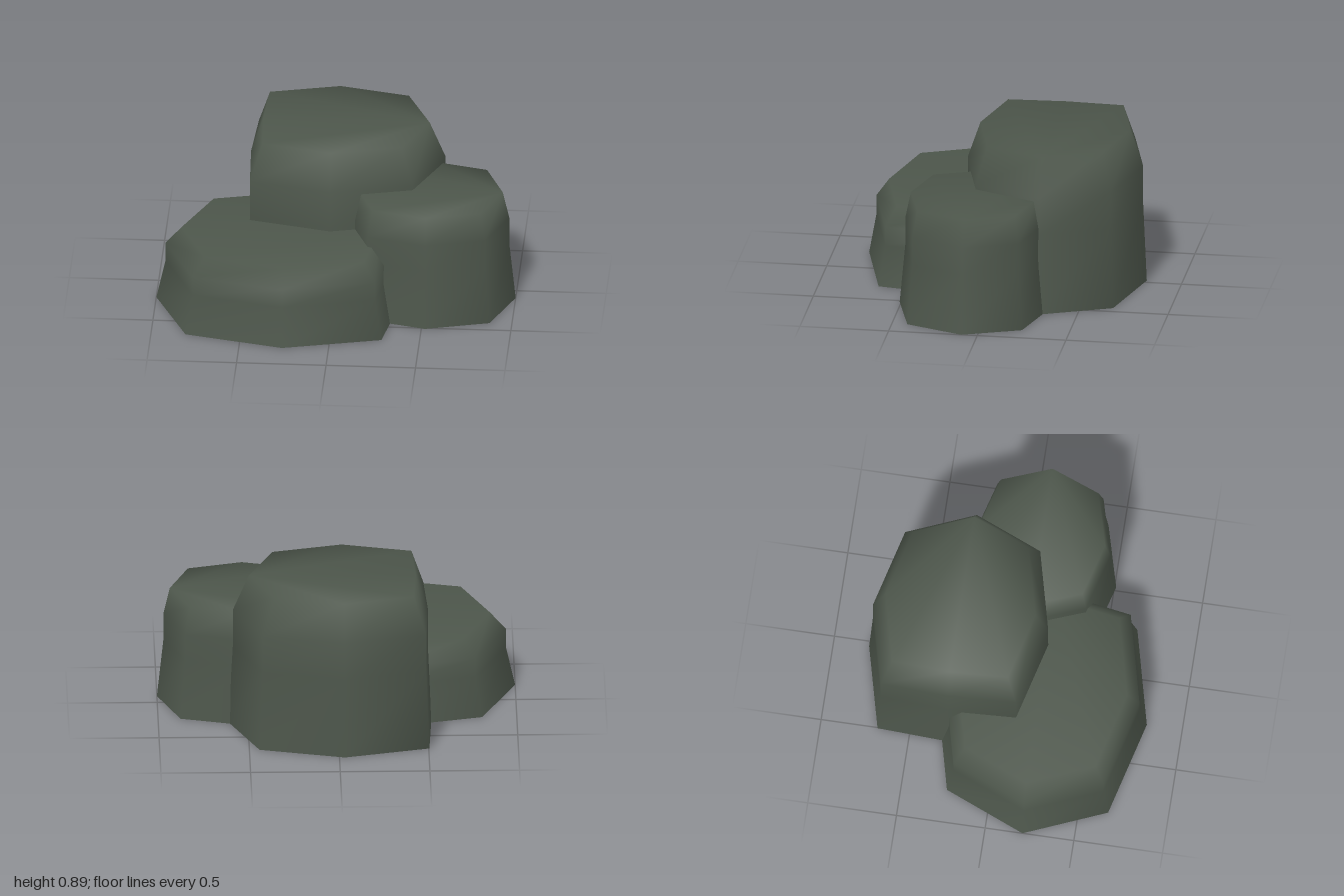
import * as THREE from 'three';

// Eight-sided outline: full reach on the axes, pulled in on the diagonals
const DX = 0.74, DZ = 0.77;
const OUTLINE = [[1, 0], [DX, DZ], [0, 1], [-DX, DZ], [-1, 0], [-DX, -DZ], [0, -1], [DX, -DZ]];

// Smooth boulder, open underneath. levels: [height, scale] from the ground up.
// right and left shorten the side corners for a flattened flank.
function boulder(name, material, { x, z, rx, rz, right = 1, left = 1, levels }) {
  const n = OUTLINE.length, positions = [], index = [];
  for (const [y, s] of levels) {
    OUTLINE.forEach(([ox, oz], i) => {
      const reach = i === 0 ? right : i === 4 ? left : 1;
      positions.push(x + ox * rx * s * reach, y, z + oz * rz * s);
    });
  }
  // Sides
  for (let k = 0; k < levels.length - 1; k++) {
    for (let i = 0; i < n; i++) {
      const a = k * n + i, b = k * n + (i + 1) % n;
      index.push(a, a + n, b, b, a + n, b + n);
    }
  }
  // Flat top
  const t = (levels.length - 1) * n;
  for (let i = 1; i < n - 1; i++) index.push(t, t + i + 1, t + i);

  const geometry = new THREE.BufferGeometry();
  geometry.setAttribute('position', new THREE.Float32BufferAttribute(positions, 3));
  geometry.setIndex(index);
  geometry.computeVertexNormals();
  const mesh = new THREE.Mesh(geometry, material);
  mesh.name = name;
  return mesh;
}

export function createModel() {
  const stone = new THREE.MeshStandardMaterial({ color: 0x4d564b, side: THREE.DoubleSide });
  stone.name = 'mossy grey stone';

  const group = new THREE.Group();
  group.name = 'rockCluster';
  group.add(
    boulder('lowBoulder', stone, {
      x: -0.26, z: 0.21, rx: 0.74, rz: 0.59, right: 0.84,
      levels: [[0, 1], [0.23, 0.93], [0.34, 0.93], [0.44, 0.81]],
    }),
    boulder('tallBoulder', stone, {
      x: -0.03, z: -0.285, rx: 0.64, rz: 0.515, left: 0.77,
      levels: [[0, 1], [0.46, 0.96], [0.68, 0.96], [0.89, 0.82]],
    }),
    boulder('sideBoulder', stone, {
      x: 0.52, z: 0.09, rx: 0.48, rz: 0.42,
      levels: [[0, 1], [0.34, 0.925], [0.5, 0.925], [0.655, 0.85]],
    }),
  );
  return group;
}
